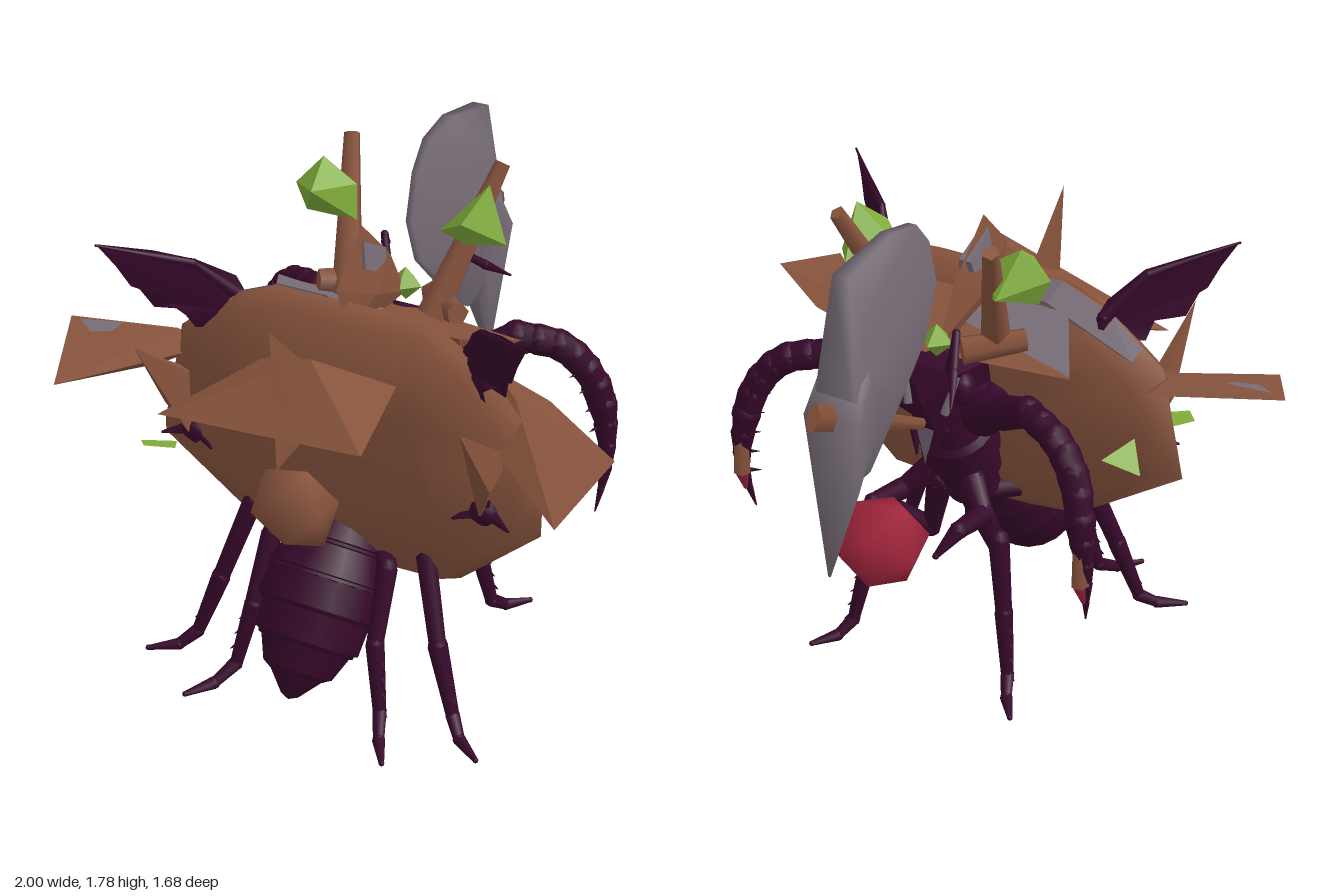
import * as THREE from 'three';
import { ConvexGeometry } from 'three/addons/geometries/ConvexGeometry.js';
import { mergeVertices } from 'three/addons/utils/BufferGeometryUtils.js';

const V = (x, y, z) => new THREE.Vector3(x, y, z);
const UP = V(0, 1, 0);

export function createModel() {
  const root = new THREE.Group();
  root.name = 'armouredInsect';
  const mat = (name, color, side = THREE.DoubleSide) => {
    const m = new THREE.MeshStandardMaterial({ color, side });
    m.name = name;
    return m;
  };
  const brown = mat('brown', 0x88543d);
  const purple = mat('purple', 0x36082a);
  const grey = mat('grey', 0x786d78);
  const green = mat('green', 0x80ad3a, THREE.FrontSide);
  const red = mat('red', 0xa0243c);

  const CX = 0.04; // the insect's own mirror plane
  const body = new THREE.Group();
  body.name = 'insect';
  body.position.x = CX;
  const gear = new THREE.Group();
  gear.name = 'armour';
  root.add(body, gear);

  const add = (parent, name, geo, material) => {
    const m = new THREE.Mesh(geo, material);
    m.name = name;
    parent.add(m);
    return m;
  };
  const hull = (parent, name, pts, material) =>
    add(parent, name, new ConvexGeometry(pts.map(p => V(...p))), material);
  // open sheet: edge points fanned from the first
  const sheet = (parent, name, pts, material) => {
    const g = new THREE.BufferGeometry();
    g.setAttribute('position', new THREE.Float32BufferAttribute(pts.flat(), 3));
    g.setIndex(pts.slice(2).flatMap((_, i) => [0, i + 1, i + 2]));
    g.computeVertexNormals();
    return add(parent, name, g, material);
  };
  // soft shading over a faceted mesh
  const soften = mesh => {
    mesh.geometry.deleteAttribute('normal');
    mesh.geometry.deleteAttribute('uv');
    mesh.geometry = mergeVertices(mesh.geometry, 1e-3);
    mesh.geometry.computeVertexNormals();
    return mesh;
  };
  // tapered rod from a to b
  const rod = (parent, name, a, b, ra, rb, material, sides = 8) => {
    const d = b.clone().sub(a);
    const m = add(parent, name, new THREE.CylinderGeometry(rb, ra, d.length(), sides), material);
    m.position.copy(a).addScaledVector(d, 0.5);
    m.quaternion.setFromUnitVectors(UP, d.normalize());
    return m;
  };
  // jointed limb: points [x, y, z, radius]
  const limb = (name, pts, side) => {
    const g = new THREE.Group();
    g.name = name;
    body.add(g);
    pts.forEach((p, i) => {
      const a = V(p[0] * side, p[1], p[2]);
      add(g, 'joint', new THREE.SphereGeometry(p[3], 8, 6), purple).position.copy(a);
      const q = pts[i + 1];
      if (q) rod(g, 'segment', a, V(q[0] * side, q[1], q[2]), p[3], q[3] * 0.9, purple);
    });
    return g;
  };
  const thorns = (g, a, b, dir, n, size) => {
    for (let i = 0; i < n; i++) {
      const p = a.clone().lerp(b, (i + 0.5) / n);
      rod(g, 'thorn', p, p.clone().addScaledVector(dir, size), size * 0.3, 0.001, purple, 4);
    }
  };
  // overlapping ringed body part turned about the line from a to b
  const ringed = (name, a, b, profile) => {
    const d = b.clone().sub(a), len = d.length(), pts = [V(0, 0, 0)];
    profile.forEach(([t, r], i) => {
      if (i) pts.push(V(r * 0.93, t * len - 0.004, 0));
      pts.push(V(r, t * len, 0));
    });
    pts.push(V(0, len, 0));
    const m = add(body, name, new THREE.LatheGeometry(pts, 20), purple);
    m.position.copy(a);
    m.quaternion.setFromUnitVectors(UP, d.normalize());
  };

  // abdomen, thorax and neck
  ringed('abdomen', V(0, 0.1, 0.7), V(0, 0.66, 0.25), [[0.02, 0.03], [0.12, 0.095], [0.14, 0.12],
    [0.26, 0.165], [0.28, 0.18], [0.42, 0.2], [0.44, 0.212], [0.58, 0.212], [0.6, 0.205], [0.74, 0.18],
    [0.76, 0.17], [0.88, 0.13], [0.9, 0.115], [0.98, 0.06]]);
  ringed('thorax', V(0, 0.5, 0.17), V(0, 1.03, -0.06), [[0.03, 0.06], [0.15, 0.085], [0.18, 0.1],
    [0.32, 0.105], [0.35, 0.12], [0.52, 0.13], [0.55, 0.14], [0.72, 0.135], [0.76, 0.115], [0.97, 0.08]]);

  // head with eyes, jaws and pale chin
  hull(body, 'head', [[-0.13, 1.18, 0.0], [0.13, 1.18, 0.0], [-0.1, 1.19, -0.15], [0.1, 1.19, -0.15],
    [-0.1, 1.02, 0.08], [0.1, 1.02, 0.08], [-0.05, 0.95, -0.18], [0.05, 0.95, -0.18], [0, 0.9, -0.1],
    [0, 1.23, -0.07], [0, 1.08, -0.21]], purple);
  hull(body, 'chin', [[-0.035, 0.98, -0.19], [0.035, 0.98, -0.19], [0, 0.84, -0.19], [0, 0.95, -0.14]], grey);
  for (const s of [-1, 1]) {
    const eye = add(body, 'eye', new THREE.SphereGeometry(0.05, 10, 8), purple);
    eye.position.set(s * 0.1, 1.12, -0.11);
    eye.scale.set(0.8, 1.2, 1);
    rod(body, 'cheekPlate', V(s * 0.1, 1.18, -0.15), V(s * 0.07, 1.05, -0.18), 0.01, 0.016, grey, 5);
    rod(body, 'jaw', V(s * 0.06, 0.98, -0.16), V(s * 0.02, 0.88, -0.21), 0.025, 0.004, purple, 6);
    limb('antenna', [[0.07, 1.2, -0.15, 0.014], [0.14, 1.39, -0.22, 0.014], [0.19, 1.31, -0.32, 0.017],
      [0.24, 1.24, -0.42, 0.004]], s);

    // shoulder, raised arm and blade sweeping outward and down
    limb('clawArm', [[0.12, 1.0, -0.01, 0.095], [0.24, 1.06, -0.09, 0.06], [0.38, 1.15, -0.18, 0.055]], s);
    const curve = new THREE.CatmullRomCurve3([V(0.38, 1.15, -0.18), V(0.52, 1.12, -0.24), V(0.61, 1.02, -0.28),
      V(0.655, 0.86, -0.315), V(0.675, 0.68, -0.31), V(0.66, 0.5, -0.27)]);
    const bladePts = curve.getPoints(11).map((p, i) => [p.x, p.y, p.z, i < 7 ? 0.053 : 0.053 - (i - 6) * 0.01]);
    const blade = limb('clawBlade', bladePts, s);
    for (const [x, y, z] of bladePts.slice(4, 10)) {
      const p = V(s * x, y, z);
      rod(blade, 'thorn', p, p.clone().add(V(-s * 0.035, -0.02, 0.055)), 0.014, 0.001, purple, 4);
    }
    rod(blade, 'bladeStrip', V(s * 0.66, 0.82, -0.33), V(s * 0.665, 0.67, -0.33), 0.025, 0.03, brown, 5);
    rod(blade, 'bladeMark', V(s * 0.665, 0.67, -0.33), V(s * 0.67, 0.59, -0.31), 0.025, 0.006, red, 5);

    // small arm below the head
    limb('smallArm', [[0.08, 0.72, -0.02, 0.045], [0.16, 0.63, -0.08, 0.04], [0.17, 0.67, -0.26, 0.032],
      [0.13, 0.6, -0.34, 0.012]], s);

    // three walking legs on each side
    const legs = {
      frontLeg: [[0.06, 0.66, 0, 0.05], [0.14, 0.39, 0.07, 0.036], [0.24, 0.57, -0.11, 0.038],
        [0.28, 0.3, -0.14, 0.033], [0.32, 0.07, -0.18, 0.025], [0.35, 0.025, -0.24, 0.022], [0.41, 0.015, -0.32, 0.01]],
      middleLeg: [[0.06, 0.58, 0.15, 0.045], [0.33, 0.59, 0.36, 0.036], [0.42, 0.3, 0.44, 0.034],
        [0.5, 0.07, 0.48, 0.025], [0.55, 0.025, 0.53, 0.022], [0.64, 0.015, 0.59, 0.01]],
      hindLeg: [[0.06, 0.56, 0.18, 0.045], [0.22, 0.53, 0.42, 0.036], [0.235, 0.3, 0.53, 0.032],
        [0.28, 0.07, 0.58, 0.025], [0.32, 0.025, 0.66, 0.022], [0.38, 0.015, 0.75, 0.01]],
    };
    for (const [name, p] of Object.entries(legs)) {
      const g = limb(name, p, s), n = p.length;
      const at = i => V(p[i][0] * s, p[i][1], p[i][2]);
      thorns(g, at(n - 4), at(n - 3), V(s * 0.7, -0.6, name === 'frontLeg' ? -0.3 : 0.3).normalize(), 4, 0.055);
    }

    // ragged wing and its spar
    const edge = [[0.42, 1.25, 0.29], [0.39, 1.28, 0.24], [0.43, 1.37, 0.26], [0.51, 1.455, 0.37],
      [0.62, 1.495, 0.45], [0.755, 1.535, 0.57], [0.71, 1.45, 0.53], [0.68, 1.375, 0.5], [0.66, 1.36, 0.48],
      [0.635, 1.285, 0.44], [0.59, 1.3, 0.42], [0.54, 1.26, 0.4], [0.53, 1.2, 0.36], [0.5, 1.2, 0.34],
      [0.475, 1.11, 0.28], [0.39, 1.2, 0.25]];
    sheet(body, 'wing', edge.map(([x, y, z]) => [x * s, y, z]), purple);
    limb('wingSpar', [[0.4, 1.17, 0.24, 0.03], [0.42, 1.3, 0.26, 0.025], [0.52, 1.44, 0.37, 0.015],
      [0.755, 1.53, 0.57, 0.004]], s);

    // clawed knob on the side of the shield
    const knob = add(body, 'sideKnob', new THREE.SphereGeometry(0.055, 8, 6), purple);
    knob.position.set(s * 0.54, 0.82, 0.36);
    for (const [dx, dy] of [[0.11, -0.02], [-0.09, -0.03], [0.03, 0.08]])
      rod(body, 'knobSpike', knob.position, V(s * (0.54 + dx), 0.82 + dy, 0.42), 0.03, 0.004, purple, 5);

    // upright side fin
    hull(body, 'sideFin', [[s * 0.58, 1.24, 0.64], [s * 0.54, 0.8, 0.4], [s * 0.6, 1.0, 0.3],
      [s * 0.54, 1.05, 0.4], [s * 0.6, 0.95, 0.46]], brown);

    // leaning post
    rod(body, 'post', V(s * 0.16, 1.25, 0), V(s * 0.28, 1.72, -0.25), 0.055, 0.028, brown, 5);
    rod(body, 'postFoot', V(s * 0.1, 1.27, -0.12), V(s * 0.26, 1.29, 0.02), 0.05, 0.04, brown, 5);
  }

  // crystals on the posts and between them
  hull(gear, 'leftCrystal', [[0.34, 1.7, -0.11], [0.19, 1.53, -0.06], [0.41, 1.51, -0.1], [0.3, 1.6, 0.01],
    [0.31, 1.54, -0.23], [0.29, 1.5, -0.06]], green);
  hull(gear, 'rightCrystal', [[-0.27, 1.68, -0.11], [-0.36, 1.58, -0.08], [-0.32, 1.49, -0.08],
    [-0.14, 1.48, -0.1], [-0.15, 1.6, -0.12], [-0.25, 1.6, 0.01], [-0.24, 1.54, -0.22]], green);
  add(gear, 'middleCrystal', new THREE.OctahedronGeometry(0.06), green).position.set(0.035, 1.28, -0.12);

  // domed shield: one outline at several depths
  const rim = [[-0.4, 1.31], [-0.22, 1.385], [0.34, 1.385], [0.54, 1.27], [0.74, 1.02], [0.74, 0.72],
    [0.46, 0.47], [0, 0.45], [-0.3, 0.49], [-0.69, 0.76], [-0.6, 1.15]];
  const layers = [[0.14, 0.5], [0.2, 0.85], [0.28, 1], [0.36, 0.92], [0.42, 0.55]];
  soften(hull(gear, 'shield', layers.flatMap(([z, k]) =>
    rim.map(([x, y]) => [0.03 + (x - 0.03) * k, 0.88 + (y - 0.88) * k, z])), brown));
  hull(gear, 'shieldPatch', [[-0.52, 1.215, 0.275], [-0.5, 1.18, 0.235], [-0.4, 1.314, 0.275], [-0.22, 1.387, 0.275],
    [-0.04, 1.387, 0.275], [-0.04, 1.33, 0.21], [-0.19, 1.33, 0.21], [-0.344, 1.266, 0.21]], grey);

  // wedges and spikes around the shield
  hull(gear, 'frontWedge', [[-0.42, 1.06, 0.7], [0.4, 1.21, 0.84], [0.28, 1.2, 0.4], [-0.2, 1.18, 0.38],
    [0.03, 1.28, 0.5], [-0.05, 1.06, 0.5], [0.2, 1.13, 0.6]], brown);
  hull(gear, 'frontFin', [[0.04, 1.49, 0.75], [0.04, 1.26, 0.52], [0.04, 1.02, 0.6], [0.04, 1.0, 0.73],
    [0.032, 1.2, 0.65], [0.048, 1.2, 0.65]], brown);
  hull(gear, 'topWedge', [[-0.42, 1.23, -0.05], [0.52, 1.24, 0], [0.4, 1.31, 0.21], [-0.28, 1.31, 0.2],
    [-0.28, 1.2, 0.17], [0.4, 1.2, 0.17], [0.1, 1.21, -0.1]], brown);
  sheet(gear, 'topWedgePatch', [[-0.42, 1.238, -0.05], [-0.28, 1.318, 0.2], [0.09, 1.318, 0.204],
    [0.05, 1.27, 0.06]], grey);
  hull(gear, 'topSpike', [[0.035, 1.61, 0.18], [0.035, 1.45, 0.34], [0.035, 1.435, -0.01], [0.035, 1.25, -0.12],
    [0.035, 1.25, 0.27], [0.0, 1.36, 0.15], [0.07, 1.36, 0.15]], brown);
  for (const s of [-1, 1])
    hull(gear, 'topSpikePatch', [[0.19, 1.56], [0.2, 1.47], [0.14, 1.44], [0.07, 1.45], [0.06, 1.49]].flatMap(
      ([z, y]) => [[0.035, y, z], [0.035 + s * (0.041 - (y - 1.36) * 0.135), y, z]]), grey);
  hull(gear, 'sideSpikeRight', [[-1, 1.12, 0.36], [-0.86, 1.03, 0.66], [-0.57, 1.08, 0.22], [-0.5, 1.1, 0.32],
    [-0.62, 1.13, 0.28], [-0.62, 1.05, 0.4]], brown);
  hull(gear, 'sideSpikePatch', [[-0.95, 1.125, 0.375], [-0.8, 1.135, 0.34], [-0.81, 1.12, 0.39],
    [-0.88, 1.115, 0.42]], grey);
  hull(gear, 'sideSpikeLeft', [[1, 1.11, 0.35], [0.95, 1.03, 0.67], [0.44, 1.13, 0.03], [0.6, 1.14, 0.2],
    [0.6, 1.04, 0.36], [0.68, 1.12, 0.12]], brown);
  hull(gear, 'smallSpike', [[0.65, 0.95, -0.03], [0.59, 0.92, 0.07], [0.7, 0.92, 0.08], [0.64, 0.9, 0.1]], brown);
  sheet(gear, 'backShard', [[-0.64, 0.88, 0.05], [-0.58, 0.97, 0.12], [-0.52, 0.93, 0]], green);
  hull(gear, 'frontShard', [[-0.61, 0.83, 0.54], [-0.48, 0.83, 0.53], [-0.57, 0.84, 0.58], [-0.52, 0.81, 0.46]], green);

  // boulder in front and red gem behind
  const boulder = soften(add(gear, 'boulder', new THREE.IcosahedronGeometry(0.155, 0), brown));
  boulder.position.set(0.04, 0.81, 0.63);
  boulder.scale.z = 0.72;
  boulder.rotation.z = 0.2;
  const gem = soften(add(gear, 'gem', new THREE.IcosahedronGeometry(0.165, 0), red));
  gem.position.set(0.04, 0.69, -0.47);
  gem.rotation.y = 0.25;

  // great grey axe head, its hooked point and its handle
  const both = list => list.flatMap(([z, y, w]) => [[CX - w, y, z], [CX + w, y, z]]);
  soften(hull(gear, 'axeHead', both([[-0.13, 1.5, 0.012], [-0.17, 1.66, 0.012], [-0.25, 1.75, 0.015],
    [-0.4, 1.78, 0.02], [-0.65, 1.74, 0.03], [-0.62, 1.6, 0.06], [-0.69, 1.38, 0.075], [-0.71, 1.22, 0.08],
    [-0.66, 1.02, 0.03], [-0.55, 1.01, 0.02], [-0.37, 1.17, 0.02], [-0.2, 1.33, 0.015], [-0.45, 1.45, 0.06]]), grey));
  soften(hull(gear, 'axeHook', both([[-0.43, 1.5, 0.03], [-0.67, 1.4, 0.08], [-0.73, 1.28, 0.1], [-0.77, 1.05, 0.04],
    [-0.77, 0.73, 0.005], [-0.66, 1.0, 0.05], [-0.55, 1.25, 0.07]]), grey));
  rod(gear, 'axeHandle', V(CX, 1.0, -0.2), V(CX, 1.34, -0.82), 0.02, 0.048, brown, 5).scale.x = 0.5;
  return root;
}
